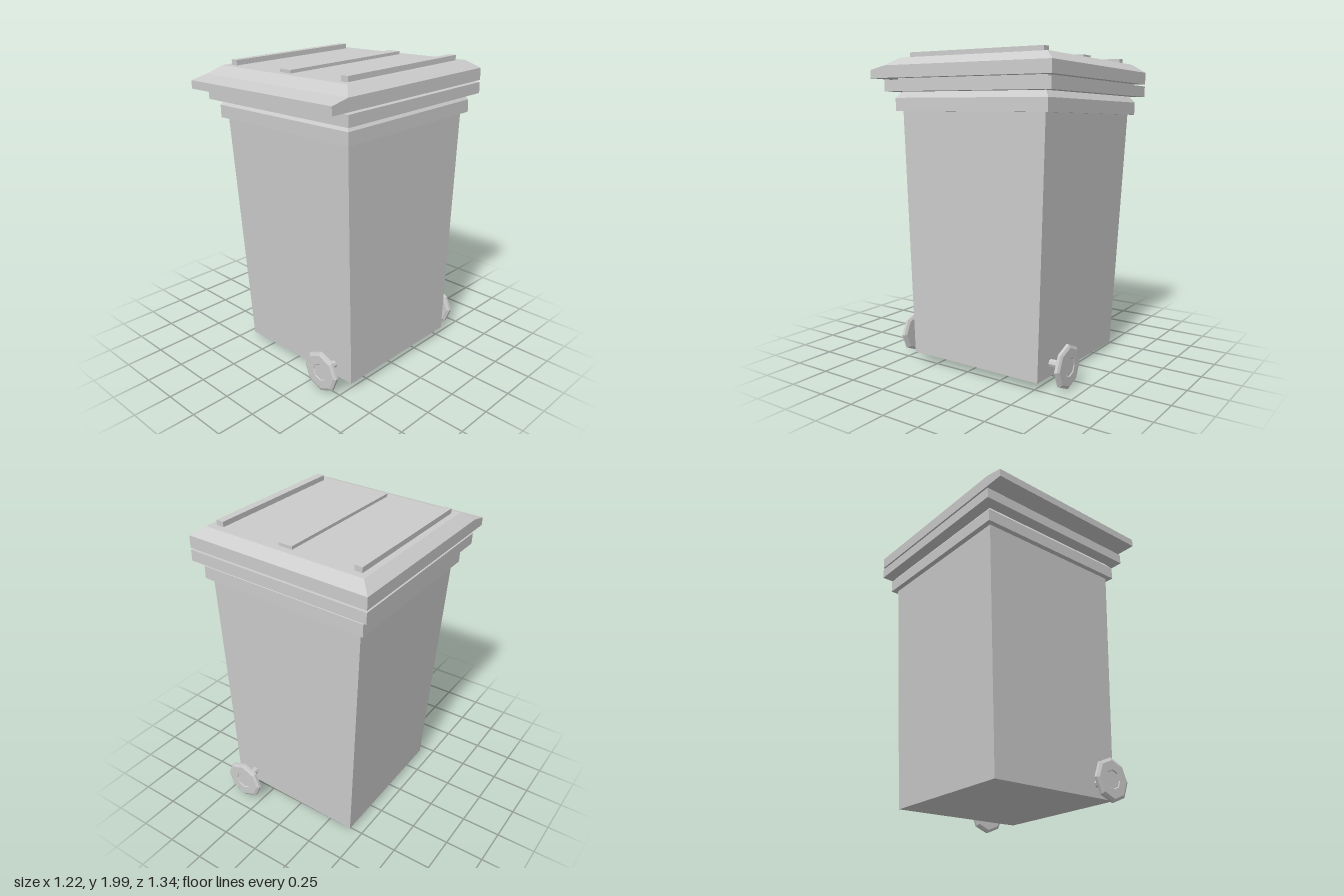
import * as THREE from 'three';

export function createModel() {
  const model = new THREE.Group();
  model.name = 'wheeledBin';
  const material = new THREE.MeshStandardMaterial({ color: 0xcccccc, flatShading: true });

  // The whole bin leans slightly sideways
  const bin = new THREE.Group();
  bin.name = 'bin';
  bin.position.set(0.0475, 0.0475, -0.057);
  bin.rotation.z = THREE.MathUtils.degToRad(1.5);
  model.add(bin);

  const add = (name, geometry, x = 0, y = 0, z = 0) => {
    const mesh = new THREE.Mesh(geometry, material);
    mesh.name = name;
    mesh.position.set(x, y, z);
    bin.add(mesh);
    return mesh;
  };

  // Square tapered block given by half widths at its bottom and top
  const block = (name, y0, y1, half0, half1) => add(
    name,
    new THREE.CylinderGeometry(half1 * Math.SQRT2, half0 * Math.SQRT2, y1 - y0, 4, 1, false, Math.PI / 4),
    0, (y0 + y1) / 2, 0
  );

  // Body and stacked rims
  block('body', 0, 1.577, 0.474, 0.526);
  block('collar', 1.577, 1.658, 0.56, 0.56);
  block('collarBevel', 1.658, 1.697, 0.56, 0.53);
  block('rim', 1.697, 1.767, 0.608, 0.608);
  block('neck', 1.767, 1.78, 0.55, 0.55);

  // Lid slab with the sloping front lip
  const profile = new THREE.Shape([
    [-0.609, 1.78], [0.73, 1.78], [0.73, 1.832], [0.609, 1.857], [-0.609, 1.857],
  ].map(([z, y]) => new THREE.Vector2(z, y)));
  const slab = new THREE.ExtrudeGeometry(profile, { depth: 1.218, bevelEnabled: false });
  slab.rotateY(-Math.PI / 2).translate(0.609, 0, 0);
  add('lidSlab', slab);
  block('lidTop', 1.857, 1.908, 0.609, 0.538);

  // Ribs on the lid
  for (const [name, x, width, height] of [
    ['rightRib', -0.474, 0.05, 0.033], ['middleRib', 0, 0.09, 0.02], ['leftRib', 0.474, 0.05, 0.033],
  ]) add(name, new THREE.BoxGeometry(width, height, 0.984), x, 1.908 + height / 2, 0.001);

  // Axle and eight-sided wheels
  const axleX = 0.331, axleY = 0.087;
  add('axle', new THREE.CylinderGeometry(0.024, 0.024, 1.16, 8).rotateX(Math.PI / 2), axleX, axleY, 0);
  const wheelProfile = [
    [0, 0], [0.118, 0], [0.137, 0.01], [0.137, 0.027], [0.118, 0.037],
    [0.06, 0.037], [0.055, 0.032], [0, 0.032],
  ].map(([r, y]) => new THREE.Vector2(r, y));
  for (const [name, side] of [['frontWheel', 1], ['backWheel', -1]]) {
    const wheel = new THREE.LatheGeometry(wheelProfile, 8).rotateX(side * Math.PI / 2);
    add(name, wheel, axleX, axleY, side * 0.573);
  }
  return model;
}
